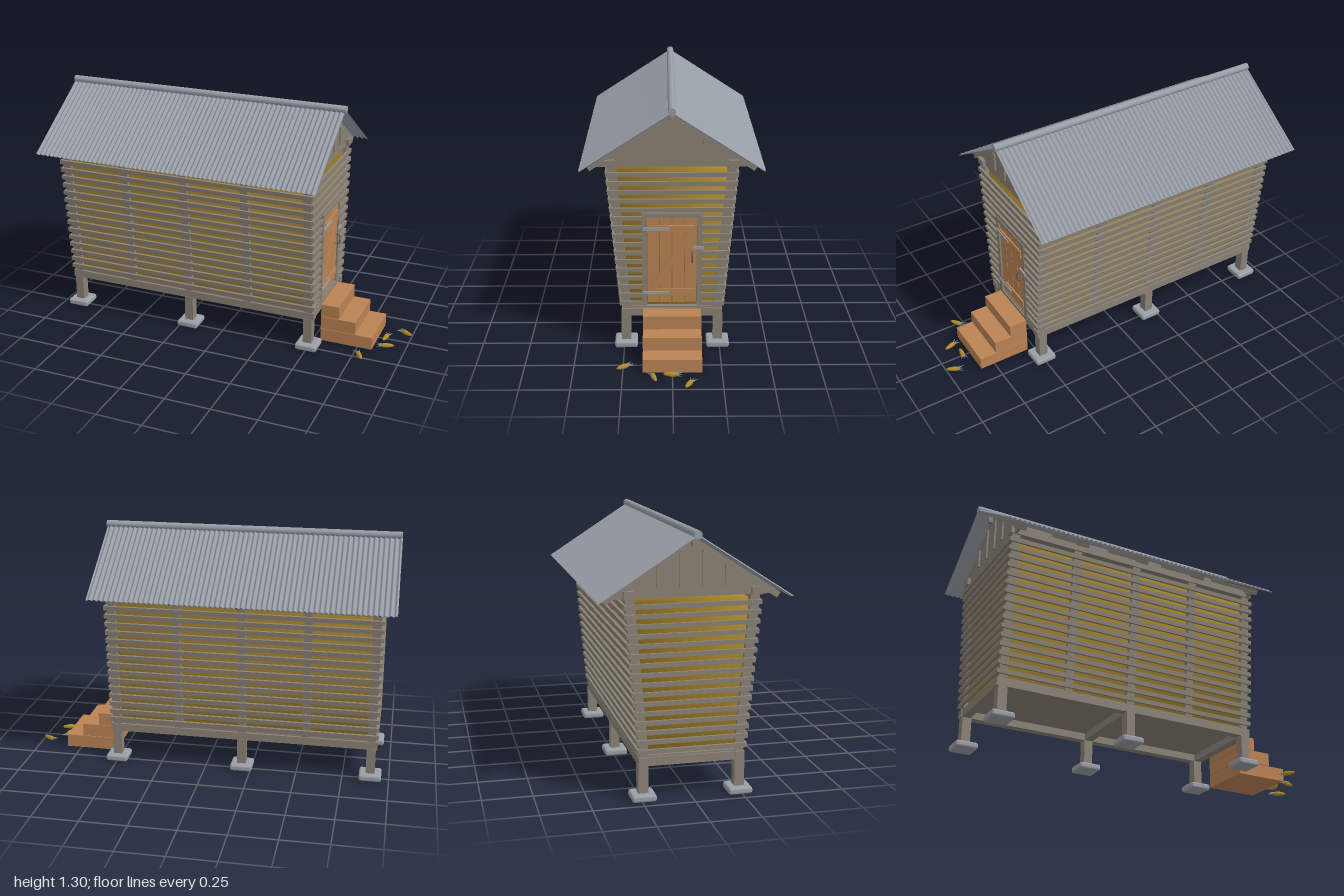
import * as THREE from 'three';
import { mergeVertices } from 'three/addons/utils/BufferGeometryUtils.js';
import { RoundedBoxGeometry } from 'three/addons/geometries/RoundedBoxGeometry.js';

export function createModel() {
  const root = new THREE.Group();
  root.name = 'cornCrib';
  const material = (name, color, side = THREE.FrontSide) => {
    const m = new THREE.MeshStandardMaterial({ color, side });
    m.name = name;
    return m;
  };
  const greyWood = material('weatheredWood', 0x8a8276);
  const brownWood = material('brownWood', 0xbb8354);
  const roofMetal = material('roofMetal', 0x989ea6, THREE.DoubleSide);
  const stone = material('stone', 0x9a9fa6);
  const iron = material('iron', 0x565a60);
  const cornGold = material('cornGold', 0xb08c2e);
  const huskGrey = material('driedHusk', 0x8f988c, THREE.DoubleSide);

  const add = (name, geometry, mat, pos = [0, 0, 0], parent = root) => {
    const mesh = new THREE.Mesh(geometry, mat);
    mesh.name = name;
    mesh.position.set(...pos);
    parent.add(mesh);
    return mesh;
  };
  const box = (name, mat, size, pos, rotX = 0, parent = root) => {
    const mesh = add(name, new THREE.BoxGeometry(...size), mat, pos, parent);
    mesh.rotation.x = rotX;
    return mesh;
  };

  const midX = -0.2;
  const postXs = [0, 1, 2, 3, 4].map(i => -0.9 + 0.35 * i);
  const lean = 0.09;
  const postZ = y => 0.235 + (y - 0.21) * lean; // walls widen upwards
  const slatYs = Array.from({ length: 16 }, (_, i) => 0.245 + i * 0.0469);

  // Footings, short legs and floor frame
  for (const s of [1, -1]) {
    for (const x of [-0.9, -0.2, 0.5]) {
      add('footing', new RoundedBoxGeometry(0.12, 0.035, 0.12, 2, 0.012), stone, [x, 0.0175, s * 0.24]);
      box('leg', greyWood, [0.048, 0.145, 0.05], [x, 0.105, s * 0.24]);
    }
    box('sill', greyWood, [1.465, 0.042, 0.045], [midX, 0.193, s * 0.24]);
  }
  for (const x of [-0.905, -0.2, 0.505]) {
    box('crossBeam', greyWood, [0.045, 0.042, 0.44], [x, 0.193, 0]);
  }
  box('floor', greyWood, [1.44, 0.014, 0.5], [midX, 0.217, 0]);

  // Leaning posts, wall plates and long side slats
  for (const s of [1, -1]) {
    for (const x of postXs) {
      box('wallPost', greyWood, [0.043, 0.79, 0.045], [x, 0.605, s * postZ(0.605)], s * lean);
    }
    box('wallPlate', greyWood, [1.465, 0.038, 0.05], [midX, 1.003, s * 0.31]);
    for (const y of slatYs) {
      box('sideSlat', greyWood, [1.45, 0.024, 0.014], [midX, y, s * (postZ(y) + 0.028)], s * lean);
    }
  }

  // End slats, interrupted by the doorway on the +x end
  for (const y of slatYs) {
    const half = postZ(y) + 0.034;
    box('backEndSlat', greyWood, [0.014, 0.022, 2 * half], [-0.929, y, 0]);
    if (y > 0.75) box('frontEndSlat', greyWood, [0.014, 0.022, 2 * half], [0.529, y, 0]);
    else for (const s of [1, -1]) {
      box('frontEndSlat', greyWood, [0.014, 0.022, half - 0.14], [0.529, y, s * (half + 0.14) / 2]);
    }
  }

  // Heap of corn filling the crib, softly shaded
  let heap = new THREE.BoxGeometry(1, 1, 1, 1, 2, 1);
  heap.deleteAttribute('normal');
  heap.deleteAttribute('uv');
  const hp = heap.attributes.position;
  const levels = [[0.226, 0.7, postZ(0.226)], [0.955, 0.7, postZ(0.955)], [0.988, 0.59, 0.19]];
  for (let i = 0; i < hp.count; i++) {
    const [y, hx, hz] = levels[Math.round((hp.getY(i) + 0.5) * 2)];
    hp.setXYZ(i, Math.sign(hp.getX(i)) * hx, y, Math.sign(hp.getZ(i)) * hz);
  }
  heap = mergeVertices(heap);
  heap.computeVertexNormals();
  add('cornHeap', heap, cornGold, [midX, 0, 0]);

  // Gables with battens
  const gable = new THREE.Shape([[-0.41, 0.985], [0.41, 0.985], [0, 1.25]].map(p => new THREE.Vector2(...p)));
  for (const s of [1, -1]) {
    const end = new THREE.Group();
    end.name = 'gableEnd';
    end.position.x = midX;
    end.rotation.y = s > 0 ? 0 : Math.PI;
    root.add(end);
    const panel = add('gablePanel', new THREE.ExtrudeGeometry(gable, { depth: 0.014, bevelEnabled: false }), greyWood, [0.7, 0, 0], end);
    panel.rotation.y = Math.PI / 2;
    for (const [z, top] of [[0.165, 1.135], [0.055, 1.207], [-0.055, 1.207], [-0.165, 1.135]]) {
      box('gableBatten', greyWood, [0.01, top - 1.03, 0.02], [0.718, (top + 1.03) / 2, z], 0, end);
    }
  }

  // Rafters, ridge beam and corrugated roof
  const pitch = 0.572, slope = 0.55;
  box('ridgeBeam', greyWood, [1.48, 0.034, 0.022], [midX, 1.238, 0]);
  for (const s of [1, -1]) {
    for (const x of postXs) {
      box('rafter', greyWood, [0.032, 0.032, 0.5], [x, 1.111, s * 0.213], s * pitch);
    }
    const waves = 60, sheet = new THREE.PlaneGeometry(1.59, slope, waves * 8, 1);
    sheet.rotateX(-Math.PI / 2);
    const p = sheet.attributes.position;
    for (let i = 0; i < p.count; i++) {
      p.setY(i, 0.005 * Math.sin((p.getX(i) / 1.59 + 0.5) * waves * Math.PI * 2));
    }
    sheet.computeVertexNormals();
    add('roofSheet', sheet, roofMetal, [-0.205, 1.131, s * 0.232]).rotation.x = s * pitch;
  }
  add('ridgeCap', new THREE.CylinderGeometry(0.02, 0.02, 1.595, 16), roofMetal, [-0.2025, 1.284, 0]).rotation.z = Math.PI / 2;

  // Door frame, plank door with brace, and ironwork
  for (const s of [1, -1]) box('doorJamb', greyWood, [0.024, 0.51, 0.026], [0.526, 0.49, s * 0.142]);
  box('doorLintel', greyWood, [0.024, 0.024, 0.31], [0.526, 0.733, 0]);
  for (let i = 0; i < 4; i++) {
    box('doorPlank', brownWood, [0.012, 0.468, 0.06], [0.524, 0.486, (i - 1.5) * 0.064]);
  }
  for (const y of [0.31, 0.66]) {
    box('doorRail', brownWood, [0.009, 0.036, 0.235], [0.534, y, 0]);
    box('strapHinge', stone, [0.005, 0.016, 0.135], [0.541, y, 0.082]);
  }
  box('doorBrace', brownWood, [0.008, 0.385, 0.034], [0.534, 0.485, 0], Math.atan2(-0.21, 0.32));
  box('latch', stone, [0.008, 0.016, 0.055], [0.542, 0.56, -0.137]);
  const grip = new THREE.CatmullRomCurve3([[0.528, 0.477], [0.552, 0.482], [0.556, 0.505], [0.552, 0.528], [0.528, 0.533]]
    .map(([x, y]) => new THREE.Vector3(x, y, -0.104)));
  add('doorHandle', new THREE.TubeGeometry(grip, 16, 0.004, 8), iron);

  // Three solid steps
  [0.83, 0.735, 0.64].forEach((x, i) => {
    box('step', brownWood, [x - 0.54, 0.071, 0.3], [(x + 0.54) / 2, 0.0365 + i * 0.0735, 0]);
  });

  // Loose ears of corn: husk end to tip
  const earProfile = [[0, 0], [0.009, 0.003], [0.013, 0.015], [0.0125, 0.035], [0.008, 0.06], [0, 0.072]]
    .map(q => new THREE.Vector2(...q));
  const ears = [[0.91, -0.11, 1, -0.064], [0.88, -0.055, 0.866, 0.05], [0.84, 0.112, 0.94, 0.08], [0.755, 0.195, 0.81, 0.28]];
  for (const [hx, hz, tx, tz] of ears) {
    const ear = new THREE.Group();
    ear.name = 'looseEar';
    ear.position.set(hx, 0.0135, hz);
    ear.rotation.y = -Math.atan2(tz - hz, tx - hx);
    root.add(ear);
    add('cob', new THREE.LatheGeometry(earProfile, 12), cornGold, [0.032, 0, 0], ear).rotation.z = -Math.PI / 2;
    for (const a of [-0.45, 0, 0.45]) {
      const leaf = add('huskLeaf', new THREE.ConeGeometry(0.006, 0.038, 6), huskGrey, [0.02, 0.002, a * 0.034], ear);
      leaf.scale.z = 0.5;
      leaf.rotation.set(0, a, Math.PI / 2);
    }
  }
  return root;
}
